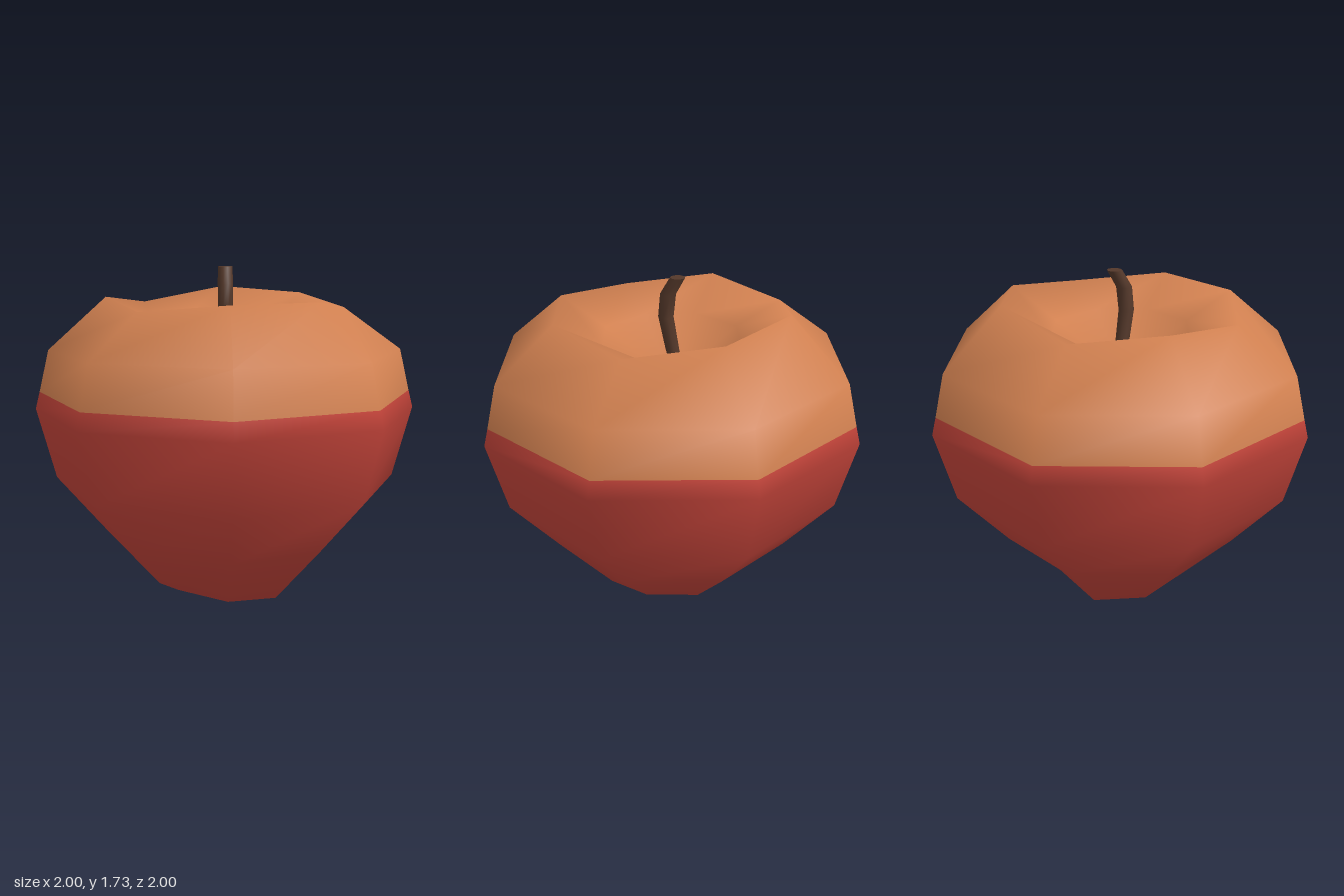
import * as THREE from 'three';

const mat = (name, color) => {
  const m = new THREE.MeshStandardMaterial({ color });
  m.name = name;
  return m;
};

// Smooth skin through horizontal rings { r, y, x, z, m }; y may list one height per side,
// r = 0 closes to a point, m is the material index of the band that starts at the ring.
function loft(rings, sides) {
  const pos = [], index = [], starts = [];
  const geo = new THREE.BufferGeometry();
  for (const { r, y, x = 0, z = 0 } of rings) {
    starts.push(pos.length / 3);
    for (let j = 0; j < (r ? sides : 1); j++) {
      const a = (j / sides) * Math.PI * 2;
      pos.push(x + r * Math.cos(a), Array.isArray(y) ? y[j] : y, z + r * Math.sin(a));
    }
  }
  for (let i = 0; i < rings.length - 1; i++) {
    const first = index.length;
    const id = (k, j) => starts[k] + (rings[k].r ? j % sides : 0);
    for (let j = 0; j < sides; j++) {
      const a = id(i, j), b = id(i, j + 1), c = id(i + 1, j), d = id(i + 1, j + 1);
      if (a !== b) index.push(a, c, b);
      if (c !== d) index.push(b, c, d);
    }
    geo.addGroup(first, index.length - first, rings[i].m || 0);
  }
  geo.setAttribute('position', new THREE.Float32BufferAttribute(pos, 3));
  geo.setIndex(index);
  geo.computeVertexNormals();
  return geo;
}

export function createModel() {
  const red = mat('red skin', 0xc4443a);
  const orange = mat('orange skin', 0xd08050);
  const brown = mat('brown stem', 0x54382a);
  const group = new THREE.Group();
  group.name = 'apple';

  // Eight-sided fruit, from the hollow underneath up and into the hollow on top
  const fruit = new THREE.Mesh(loft([
    { r: 0, y: 0.32, m: 1 },
    { r: 0.23, y: 0.13, m: 0 },
    { r: 0.36, y: [0.065, 0.02, 0.04, 0.07, 0.02, 0, 0.065, 0.06], m: 0 },
    { r: 0.64, y: 0.325, m: 0 },
    { r: 0.9, y: 0.62, m: 0 },
    { r: 1, y: 0.99, m: 0 },
    { r: 0.977, y: 1.08, m: 1 },
    { r: 0.925, y: 1.3, m: 1 },
    { r: 0.62, y: [1.52, 1.565, 1.56, 1.52, 1.575, 1.53, 1.61, 1.58], m: 1 },
    { r: 0.37, y: 1.42, m: 1 },
    { r: 0, y: 1.18 },
  ], 8), [red, orange]);
  fruit.name = 'fruit';
  group.add(fruit);

  // Bent stem with a flat tip
  const stemRings = [
    { r: 0.03, y: 1.14, x: -0.03, z: -0.05 },
    { r: 0.035, y: 1.34, x: -0.015, z: 0.0 },
    { r: 0.039, y: 1.52, z: 0.03 },
    { r: 0.04, y: 1.64, z: 0.018 },
    { r: 0.038, y: 1.73, z: -0.033 },
  ];
  const stem = new THREE.Mesh(loft(stemRings, 10), [brown]);
  stem.name = 'stem';
  group.add(stem);
  const tip = new THREE.Mesh(new THREE.CircleGeometry(0.038, 10).rotateX(-Math.PI / 2), brown);
  tip.name = 'stemTip';
  tip.position.set(0, 1.73, -0.033);
  group.add(tip);

  return group;
}
